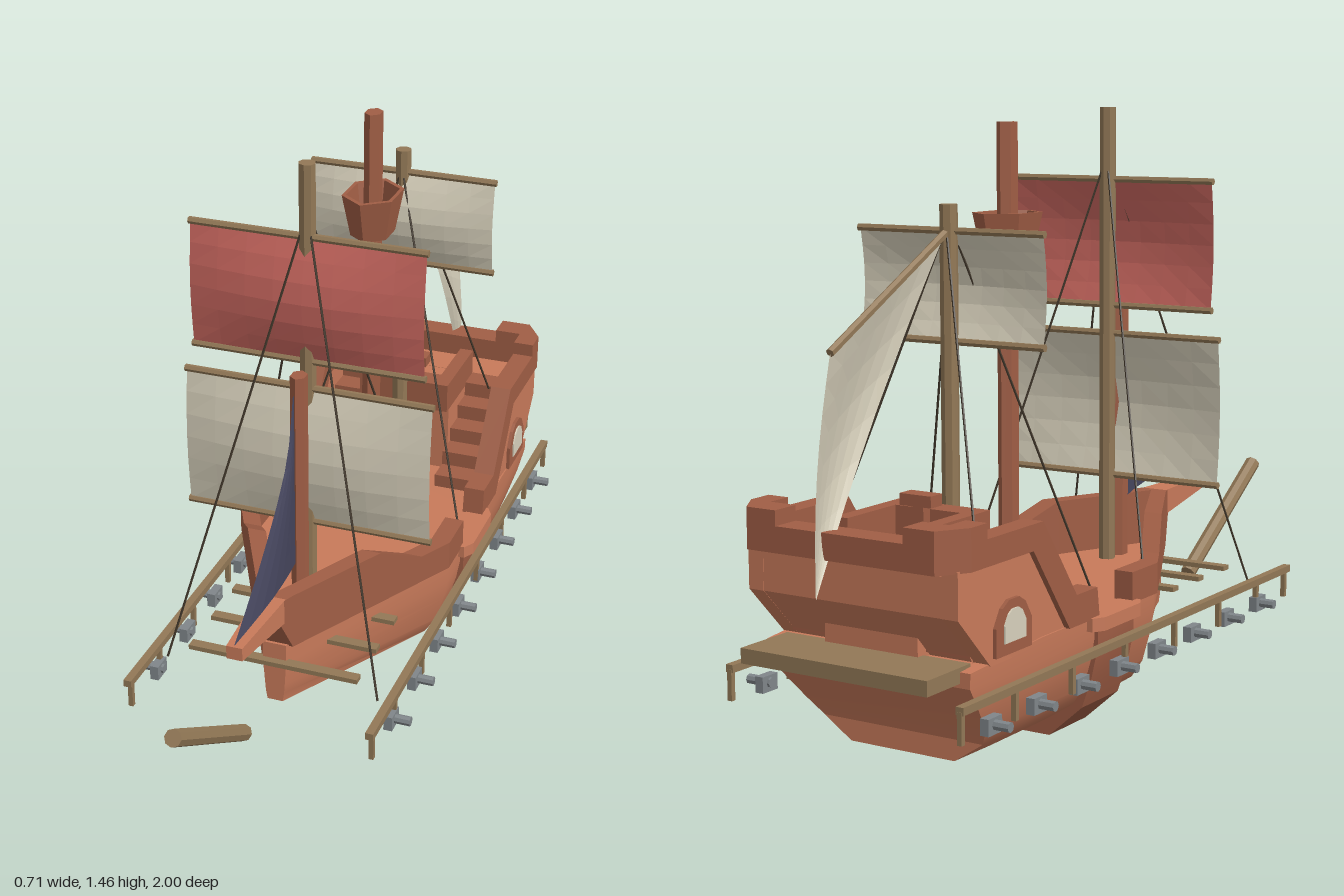
import * as THREE from 'three';
import { toCreasedNormals } from 'three/addons/utils/BufferGeometryUtils.js';

const mat = (name, color, side = THREE.FrontSide) => {
  const m = new THREE.MeshStandardMaterial({ color, side });
  m.name = name;
  return m;
};

export function createModel() {
  const ship = new THREE.Group();
  ship.name = 'sailingShip';
  const hullWood = mat('hullWood', 0xc87a5a);
  const trimWood = mat('trimWood', 0xa05e45);
  const spar = mat('sparWood', 0x927856);
  const canvas = mat('creamCanvas', 0xd8d1bc, THREE.DoubleSide);
  const red = mat('redCanvas', 0xc9675f, THREE.DoubleSide);
  const navy = mat('navyCanvas', 0x46465e, THREE.DoubleSide);
  const rope = mat('rope', 0x40362a);
  const iron = mat('iron', 0x80868a);
  const dark = mat('darkOpening', 0x4c4f55);

  const add = (name, geo, material, parent = ship) => {
    const m = new THREE.Mesh(geo, material);
    m.name = name;
    parent.add(m);
    return m;
  };
  const V = (p) => new THREE.Vector3(...p);
  const flat = (g) => {
    const n = g.index ? g.toNonIndexed() : g;
    n.computeVertexNormals();
    return n;
  };
  const box = (name, x0, x1, y0, y1, z0, z1, m) => {
    const b = add(name, new THREE.BoxGeometry(x1 - x0, y1 - y0, z1 - z0), m);
    b.position.set((x0 + x1) / 2, (y0 + y1) / 2, (z0 + z1) / 2);
    return b;
  };
  // Straight round timber between two points
  const rod = (name, a, b, r, sides, m) => {
    const A = V(a), B = V(b), d = B.clone().sub(A);
    const g = flat(new THREE.CylinderGeometry(r, r, d.length(), sides));
    const c = add(name, g, m);
    c.position.copy(A).add(B).multiplyScalar(0.5);
    c.quaternion.setFromUnitVectors(new THREE.Vector3(0, 1, 0), d.normalize());
    return c;
  };
  // Side outline [z, y] extruded across x
  const sideShape = (name, pts, x0, x1, m) => {
    const s = new THREE.Shape(pts.map(([z, y]) => new THREE.Vector2(-z, y)));
    const g = new THREE.ExtrudeGeometry(s, { depth: x1 - x0, bevelEnabled: false });
    return add(name, g.rotateY(Math.PI / 2).translate(x0, 0, 0), m);
  };
  // Plan outline [x, z] extruded upwards
  const planShape = (name, pts, y0, y1, m) => {
    const s = new THREE.Shape(pts.map(([x, z]) => new THREE.Vector2(x, -z)));
    const g = new THREE.ExtrudeGeometry(s, { depth: y1 - y0, bevelEnabled: false });
    return add(name, g.rotateX(-Math.PI / 2).translate(0, y0, 0), m);
  };
  // Closed skin over a row of rings, capped with strips and turned outwards
  const loft = (rings, crease = 0.3) => {
    const tris = [], n = rings[0].length;
    const quad = (a, b, c, d) => tris.push([a, b, c], [a, c, d]);
    for (let i = 0; i + 1 < rings.length; i++) {
      for (let j = 0; j < n; j++) {
        const k = (j + 1) % n;
        quad(rings[i][j], rings[i][k], rings[i + 1][k], rings[i + 1][j]);
      }
    }
    for (let j = 0; j < n / 2 - 1; j++) {
      const a = rings[0], b = rings[rings.length - 1], k = n - 1 - j;
      quad(a[j], a[k], a[k - 1], a[j + 1]);
      quad(b[j], b[j + 1], b[k - 1], b[k]);
    }
    let vol = 0;
    for (const [a, b, c] of tris) vol += V(a).dot(V(b).cross(V(c)));
    if (vol < 0) tris.forEach((t) => t.reverse());
    const g = new THREE.BufferGeometry();
    g.setAttribute('position', new THREE.Float32BufferAttribute(tris.flat(2), 3));
    g.computeVertexNormals();
    return toCreasedNormals(g, crease);
  };
  // Faceted cloth from a function of u, v
  const cloth = (name, fn, nu, nv, m) => {
    const g = new THREE.PlaneGeometry(1, 1, nu, nv), p = g.attributes.position;
    for (let i = 0; i < p.count; i++) p.setXYZ(i, ...fn(p.getX(i) + 0.5, p.getY(i) + 0.5));
    return add(name, flat(g), m);
  };

  // Hull: half sections from keel to deck edge, [x, y, z]
  const mirrorRing = (half) => [...half, ...half.map(([x, y, z]) => [-x, y, z]).reverse()];
  const mid = [[0.147, 0.035], [0.225, 0.085], [0.255, 0.13], [0.275, 0.2], [0.284, 0.25], [0.285, 0.305]];
  const stem = [[0.02, 0.14], [0.024, 0.165], [0.026, 0.19], [0.028, 0.22], [0.03, 0.25], [0.03, 0.305]];
  const sternZ = [-0.74, -0.74, -0.77, -0.83, -0.87, -0.87];
  add('hull', loft([
    mirrorRing(stem.map(([x, y]) => [x, y, 0.4])),
    mirrorRing(mid.map(([x, y]) => [x, y, -0.1])),
    mirrorRing(mid.map(([x, y]) => [x, y, -0.6])),
    mirrorRing(mid.map(([x, y], i) => [x * 0.97, i === 5 ? 0.285 : y, sternZ[i]])),
  ], 0.5), hullWood);

  // Reinforcing band around the waist
  const band = [[0.16, 0], [0.25, 0.08], [0.275, 0.15], [0.293, 0.23], [0.293, 0.29]];
  add('waistBand', loft([-0.21, -0.375].map((z) => mirrorRing(band.map(([x, y]) => [x, y, z]))), 0.45), trimWood);

  // Beak at the bow
  add('beak', loft([[0.035, 0.38, 0.445, 0.41], [0.02, 0.413, 0.447, 0.645]].map(([x, y0, y1, z]) =>
    [[-x, y0, z], [x, y0, z], [x, y1, z], [-x, y1, z]])), hullWood);

  const windowOutline = [[-0.65, 0.3], [-0.79, 0.3], [-0.79, 0.365], [-0.765, 0.405], [-0.74, 0.42], [-0.7, 0.42], [-0.675, 0.405], [-0.65, 0.365]];
  const paneOutline = windowOutline.map(([z, y]) => [-0.72 + (z + 0.72) * 0.6, 0.363 + (y - 0.36) * 0.6]);
  const stairs = [[-0.45, 0.3]];
  for (let i = 0; i < 5; i++) stairs.push([-0.48 - i * 0.066, 0.3 + i * 0.04], [-0.48 - i * 0.066, 0.34 + i * 0.04]);
  stairs.push([-0.82, 0.5], [-0.82, 0.3]);

  for (const s of [1, -1]) {
    const span = (a, b) => (s > 0 ? [a, b] : [-b, -a]);

    // Bow bulwark: [outer x, inner x, bottom, top, z]
    add('bowBulwark', loft([
      [0.29, 0.24, 0.3, 0.375, -0.21], [0.29, 0.24, 0.3, 0.375, -0.09], [0.244, 0.194, 0.3, 0.375, 0],
      [0.178, 0.128, 0.3, 0.445, 0.13], [0.045, 0, 0.3, 0.445, 0.39], [0.03, 0, 0.38, 0.445, 0.43],
    ].map(([o, i, y0, y1, z]) => [[s * o, y0, z], [s * o, y1, z], [s * i, y1, z], [s * i, y0, z]])), trimWood);
    planShape('gunwale', [[0.25, -0.19], [0.3, -0.19], [0.317, -0.22], [0.317, -0.38], [0.3, -0.41], [0.25, -0.41]]
      .map(([x, z]) => [s * x, z]), 0.275, 0.307, hullWood);

    // Stern castle side: wall, stepped trim, stairs and window
    sideShape('castleWall', [[-0.49, 0.285], [-0.49, 0.31], [-0.64, 0.515], [-0.92, 0.515], [-0.92, 0.41], [-0.8, 0.285]],
      ...span(0.24, 0.281), hullWood);
    sideShape('castleTrim', [[-0.37, 0.303], [-0.38, 0.375], [-0.47, 0.375], [-0.61, 0.57], [-0.84, 0.57], [-0.84, 0.51], [-0.65, 0.51], [-0.5, 0.303]],
      ...span(0.24, 0.295), trimWood);
    sideShape('stairs', stairs, ...span(0.125, 0.241), trimWood);
    sideShape('windowFrame', windowOutline, ...span(0.275, 0.29), trimWood);
    sideShape('windowPane', paneOutline, ...span(0.288, 0.294), canvas);
    box('quarterdeckRail', ...span(0.09, 0.127), 0.49, 0.57, -0.81, -0.6, trimWood);
    planShape('sternCornerBlock', [[0.295, -0.83], [0.295, -0.89], [0.25, -0.96], [0.17, -0.96], [0.17, -0.89], [0.24, -0.89], [0.24, -0.83]]
      .map(([x, z]) => [s * x, z]), 0.565, 0.605, trimWood);

    // Outboard rail with posts and cannons
    box('outboardRail', ...span(0.3, 0.32), 0.223, 0.241, -0.96, 0.585, spar);
    for (const z of [0.565, 0.4, 0.19, -0.04, -0.28, -0.515, -0.75, -0.955]) {
      box('railPost', ...span(0.304, 0.316), 0.158, 0.23, z - 0.006, z + 0.006, spar);
    }
    for (let i = 0; i < 8; i++) {
      const z = 0.415 - i * 0.179;
      box('cannonMount', ...span(0.296, 0.318), 0.152, 0.19, z - 0.026, z + 0.026, iron);
      rod('cannonBarrel', [s * 0.29, 0.173, z], [s * 0.357, 0.173, z], 0.012, 8, iron);
    }

    // Standing rigging
    rod('foreStay', [0, 1.34, 0.16], [s * 0.275, 0.22, 0.425], 0.003, 5, rope);
    rod('foreShroud', [0, 1.34, 0.155], [s * 0.24, 0.37, -0.075], 0.003, 5, rope);
    rod('mizzenStay', [0, 1.2, -0.53], [s * 0.25, 0.3, -0.3], 0.003, 5, rope);
    rod('mizzenShroud', [0, 1.2, -0.55], [s * 0.2, 0.5, -0.73], 0.003, 5, rope);
  }

  // Quarterdeck block, transom and stern rail
  sideShape('quarterdeck', [[-0.59, 0.29], [-0.59, 0.5], [-0.85, 0.5], [-0.85, 0.29]], -0.126, 0.126, hullWood);
  sideShape('sternBlock', [[-0.81, 0.285], [-0.81, 0.501], [-0.919, 0.501], [-0.919, 0.41], [-0.8, 0.285]], -0.242, 0.242, hullWood);
  box('quarterdeckFrontRail', -0.127, 0.127, 0.49, 0.57, -0.632, -0.57, trimWood);
  planShape('sternRail', [[0.295, -0.83], [0.295, -0.89], [0.25, -0.96], [-0.25, -0.96], [-0.295, -0.89], [-0.295, -0.83],
    [-0.24, -0.83], [-0.24, -0.89], [0.24, -0.89], [0.24, -0.83]], 0.51, 0.57, trimWood);
  box('sternPlatform', -0.25, 0.25, 0.26, 0.295, -0.99, -0.83, spar);

  // Cabin door in an arched frame
  const arch = (name, w, h, z, m) => {
    const s = new THREE.Shape();
    s.moveTo(-w, 0).lineTo(w, 0).lineTo(w, h - w).absarc(0, h - w, w, 0, Math.PI, false);
    add(name, new THREE.ExtrudeGeometry(s, { depth: 0.008, bevelEnabled: false, curveSegments: 6 }), m).position.set(0, 0.305, z);
  };
  arch('doorFrame', 0.065, 0.16, -0.591, trimWood);
  arch('door', 0.045, 0.135, -0.587, dark);

  // Helm
  box('helmPost', -0.015, 0.015, 0.5, 0.59, -0.67, -0.645, trimWood);
  box('helmCap', -0.043, 0.043, 0.583, 0.61, -0.68, -0.636, trimWood);

  // Cross planks through the bow
  for (const z of [0.13, 0.265, 0.405]) box('crossPlank', -0.22, 0.22, 0.25, 0.262, z - 0.014, z + 0.014, spar);

  // Masts and bowsprit
  rod('foremast', [0, 0.3, 0.16], [0, 1.46, 0.16], 0.021, 8, spar);
  rod('mizzenMast', [0, 0.3, -0.54], [0, 1.25, -0.54], 0.021, 8, spar);
  rod('jibMast', [0, 0.3, 0.222], [0, 0.95, 0.222], 0.026, 6, trimWood).scale.x = 0.8;
  rod('bowsprit', [0, 0.428, 0.99], [0, 0.177, 0.6], 0.021, 8, spar);

  // Mainmast with base collar and crow's nest
  const mainmast = new THREE.Group();
  mainmast.name = 'mainmast';
  mainmast.position.set(0, 0, -0.3);
  mainmast.scale.x = 0.76;
  ship.add(mainmast);
  const hex = (name, r1, r0, y0, y1) =>
    add(name, flat(new THREE.CylinderGeometry(r1, r0, y1 - y0, 6)), trimWood, mainmast).position.set(0, (y0 + y1) / 2, 0);
  hex('mainmastPole', 0.03, 0.03, 0.3, 1.43);
  hex('mainmastBase', 0.046, 0.07, 0.3, 0.42);
  const nest = [[0, 1.11], [0.072, 1.11], [0.1, 1.22], [0.086, 1.22], [0.066, 1.13], [0, 1.13]].map((p) => new THREE.Vector2(...p));
  add('crowsNest', flat(new THREE.LatheGeometry(nest, 6)), trimWood, mainmast);

  // Square sails: half width, bottom, top, z, belly
  const squareSail = (name, w, y0, y1, z, belly, m) => {
    cloth(name, (u, v) => [(u * 2 - 1) * w, y0 + (y1 - y0) * v,
      z + belly * Math.sin(Math.PI * v) * (0.35 + 0.65 * Math.sin(Math.PI * u))], 8, 6, m);
    for (const y of [y0, y1]) rod(name + 'Yard', [-w - 0.004, y, z], [w + 0.004, y, z], 0.009, 6, spar);
  };
  squareSail('foreCourse', 0.315, 0.525, 0.89, 0.165, 0.038, canvas);
  squareSail('foreTopsail', 0.293, 0.962, 1.28, 0.165, 0.038, red);
  squareSail('mizzenSail', 0.25, 0.94, 1.19, -0.537, 0.04, canvas);

  // Jib with a hollow leading edge
  const lead = new THREE.CatmullRomCurve3([[0, 0.45, 0.645], [0, 0.6, 0.45], [0, 0.76, 0.305], [0, 0.91, 0.262]].map(V));
  cloth('jib', (u, v) => {
    const p = lead.getPoint(v);
    return [0.02 * Math.sin(Math.PI * u) * (1 - v), p.y + 0.02 * Math.sin(Math.PI * u) * (1 - v), 0.255 + (p.z - 0.255) * u];
  }, 6, 8, navy);

  // Aft sail hung from a sloping gaff
  const gaffA = V([0, 1.185, -0.555]), gaffB = V([0, 0.96, -0.975]), clew = V([0.03, 0.43, -1]);
  cloth('aftSail', (u, v) => {
    const p = gaffA.clone().lerp(gaffB, u).lerp(clew, 1 - v);
    return [p.x + 0.035 * Math.sin(Math.PI * v) * Math.sin(Math.PI * (0.15 + 0.7 * u)), p.y, p.z];
  }, 6, 8, canvas);
  rod('gaff', gaffA.toArray(), gaffB.toArray(), 0.01, 6, spar);

  return ship;
}
